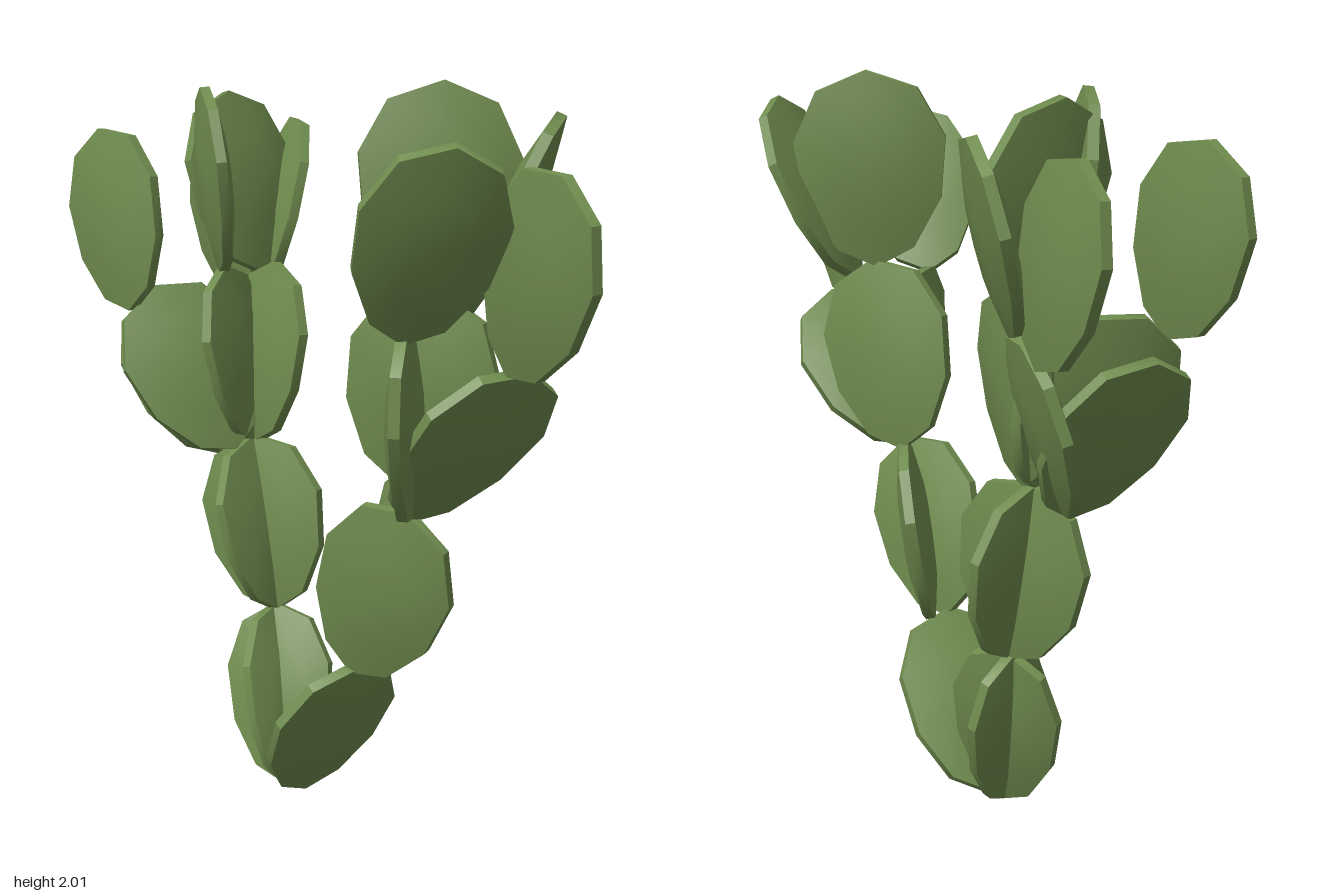
import * as THREE from 'three';
import { toCreasedNormals } from 'three/addons/utils/BufferGeometryUtils.js';

// One flat cactus pad: unit ten-sided disc facing z, gently domed, with a thin rim.
function padGeometry() {
  const profile = [[0, -0.042], [0.55, -0.036], [1, -0.014], [1, 0.014], [0.55, 0.036], [0, 0.042]]
    .map(([r, t]) => new THREE.Vector2(r, t));
  const geo = new THREE.LatheGeometry(profile, 10);
  geo.rotateX(Math.PI / 2);
  const p = geo.attributes.position;
  for (let i = 0; i < p.count; i++) {
    // egg outline: narrower at the base, fuller toward the tip
    p.setX(i, p.getX(i) * (1 + 0.16 * p.getY(i)));
  }
  return toCreasedNormals(geo, 0.6);
}

export function createModel() {
  const group = new THREE.Group();
  group.name = 'padCactus';
  const geometry = padGeometry();
  const material = new THREE.MeshStandardMaterial({ color: 0x708d4f });

  // Adds a pad of the given length standing on base. It leans by (leanX, leanZ)
  // from base to tip and its width runs along the heading turn (degrees, x to z).
  function addPad(name, base, length, leanX, leanZ, turn, width) {
    const rise = Math.sqrt(length * length - leanX * leanX - leanZ * leanZ);
    const stem = new THREE.Vector3(leanX, rise, leanZ);
    const up = stem.clone().normalize();
    const angle = THREE.MathUtils.degToRad(turn);
    const side = new THREE.Vector3(Math.cos(angle), 0, Math.sin(angle));
    side.addScaledVector(up, -side.dot(up)).normalize();

    const pad = new THREE.Mesh(geometry, material);
    pad.name = name;
    pad.quaternion.setFromRotationMatrix(
      new THREE.Matrix4().makeBasis(side, up, side.clone().cross(up)));
    pad.position.copy(base).addScaledVector(stem, 0.5);
    pad.scale.set(width / 2, length / 2, 1);
    group.add(pad);
    return { tip: base.clone().add(stem), up, side, length, width };
  }

  // Grows a pad from the upper rim of its parent, shifted sideways along that rim.
  function grow(parent, name, leanX, leanZ, turn, shift = 0, width = 0.385) {
    const s = shift / (parent.width / 2);
    const drop = 0.02 + parent.length / 4 * (1 - Math.sqrt(1 - s * s));
    const base = parent.tip.clone()
      .addScaledVector(parent.side, shift)
      .addScaledVector(parent.up, -drop);
    return addPad(name, base, parent.length, leanX, leanZ, turn, width);
  }

  // left branch
  const leftTrunk = addPad('leftTrunkPad', new THREE.Vector3(-0.03, 0, -0.01), 0.54, 0.2, 0.21, 131, 0.38);
  const leftFront = grow(leftTrunk, 'leftSecondFrontPad', 0.18, 0.14, 18);
  const leftBack = grow(leftTrunk, 'leftSecondBackPad', 0.07, -0.03, 69, -0.06);
  const leftOuter = grow(leftFront, 'leftThirdOuterPad', 0.32, 0.13, 138);
  const leftThirdFront = grow(leftFront, 'leftThirdFrontPad', 0.02, 0.2, 87, 0, 0.33);
  const leftInner = grow(leftBack, 'leftThirdInnerPad', 0.11, 0.05, 12, 0, 0.42);
  grow(leftInner, 'leftTopInnerPad', 0.01, -0.04, -19, -0.01, 0.42);
  grow(leftInner, 'leftTopOuterPad', 0.22, -0.01, 89, 0.09, 0.36);
  grow(leftThirdFront, 'leftTopFrontPad', 0.16, 0.21, -20, 0, 0.36);
  grow(leftOuter, 'leftTopSidePad', 0.14, 0.2, 45, 0.05);

  // right branch, its lower pads crossing in pairs
  const rightFoot = new THREE.Vector3(-0.09, 0, -0.02);
  const rightTrunk = addPad('rightTrunkPad', rightFoot, 0.52, -0.06, -0.14, 12, 0.33);
  addPad('rightTrunkCrossPad', rightFoot, 0.52, -0.07, -0.15, 111, 0.29);
  const rightSecond = grow(rightTrunk, 'rightSecondPad', -0.09, -0.06, 20, 0, 0.42);
  const rightCross = grow(rightTrunk, 'rightSecondCrossPad', -0.09, -0.06, 111);
  const rightSide = grow(rightCross, 'rightThirdSidePad', -0.24, 0, -35, 0.08);
  const rightInner = grow(rightSecond, 'rightThirdInnerPad', 0.05, -0.03, 45, 0.02);
  const rightFront = grow(rightSecond, 'rightThirdFrontPad', -0.07, 0.05, 101, 0, 0.33);
  const rightBack = grow(rightSecond, 'rightThirdBackPad', 0.02, -0.23, 55, -0.1);
  grow(rightSecond, 'rightThirdOuterPad', -0.25, -0.12, 130, -0.12);
  grow(rightSide, 'rightTopSidePad', -0.11, -0.08, 31, -0.09);
  grow(rightFront, 'rightTopFrontPad', -0.03, 0.06, 65, 0, 0.42);
  grow(rightInner, 'rightTopMiddlePad', -0.1, -0.02, 120, -0.1);
  grow(rightBack, 'rightTopInnerPad', 0.04, -0.18, 60, 0.1);
  grow(rightBack, 'rightTopBackPad', -0.12, -0.08, 43, -0.08);

  return group;
}
